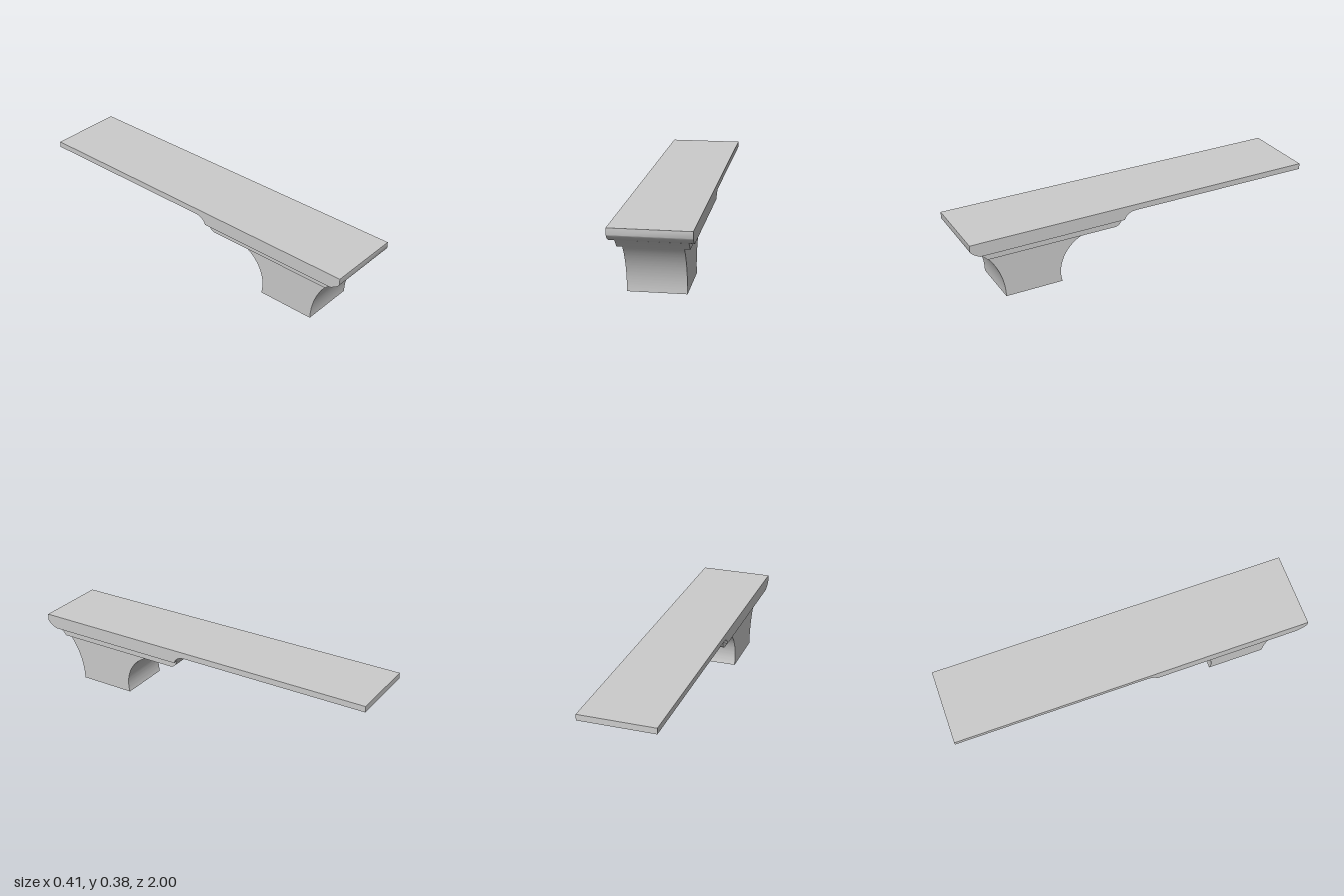
import * as THREE from 'three';
import { toCreasedNormals } from 'three/addons/utils/BufferGeometryUtils.js';

const STEP1 = 0.26, STEP2 = 0.305, SLAB = 0.347, TOP = 0.38;
// Circle of the concave front sweep, in (z, y)
const R = 0.39, CZ = 0.8 + R;
const sweep = (y) => Math.PI - Math.asin(y / R);
const sweepZ = (y) => CZ - Math.sqrt(R * R - y * y);

// Side profile in (z, y), extruded across x and centred
function slice(name, shape, width, material) {
  const geometry = new THREE.ExtrudeGeometry(shape, { depth: width, bevelEnabled: false, curveSegments: 24 });
  geometry.translate(0, 0, -width / 2);
  geometry.rotateY(-Math.PI / 2);
  const mesh = new THREE.Mesh(toCreasedNormals(geometry, 0.5), material);
  mesh.name = name;
  return mesh;
}

export function createModel() {
  const group = new THREE.Group();
  group.name = 'cantileverBench';
  const material = new THREE.MeshStandardMaterial({ color: 0xcccccc });

  // Pedestal, hollowed by a large sweep in front and a round cove behind
  const pedestal = new THREE.Shape();
  pedestal.moveTo(0.8, 0);
  pedestal.absarc(CZ, 0, R, Math.PI, sweep(STEP1), true);
  pedestal.lineTo(0.28, STEP1);
  pedestal.absarc(0.28, 0.055, 0.205, Math.PI / 2, -Math.asin(0.055 / 0.205), true);
  pedestal.closePath();
  group.add(slice('pedestal', pedestal, 0.3, material));

  // Stepped moulding with a rounded back nose
  const moulding = new THREE.Shape();
  moulding.moveTo(sweepZ(STEP1), STEP1);
  moulding.absarc(CZ, 0, R, sweep(STEP1), sweep(STEP2), true);
  moulding.lineTo(0.13, STEP2);
  moulding.quadraticCurveTo(0.14, STEP1 + 0.002, 0.175, STEP1);
  moulding.closePath();
  group.add(slice('moulding', moulding, 0.356, material));

  // Long slab with rounded front lip and a cove where it thickens
  const slab = new THREE.Shape();
  slab.moveTo(sweepZ(STEP2), STEP2);
  slab.quadraticCurveTo(0.99, 0.325, 1, 0.345);
  slab.lineTo(1, TOP);
  slab.lineTo(-1, TOP);
  slab.lineTo(-1, SLAB);
  slab.lineTo(0.06, SLAB);
  slab.quadraticCurveTo(0.115, SLAB, 0.13, STEP2);
  slab.closePath();
  group.add(slice('slab', slab, 0.412, material));

  return group;
}
